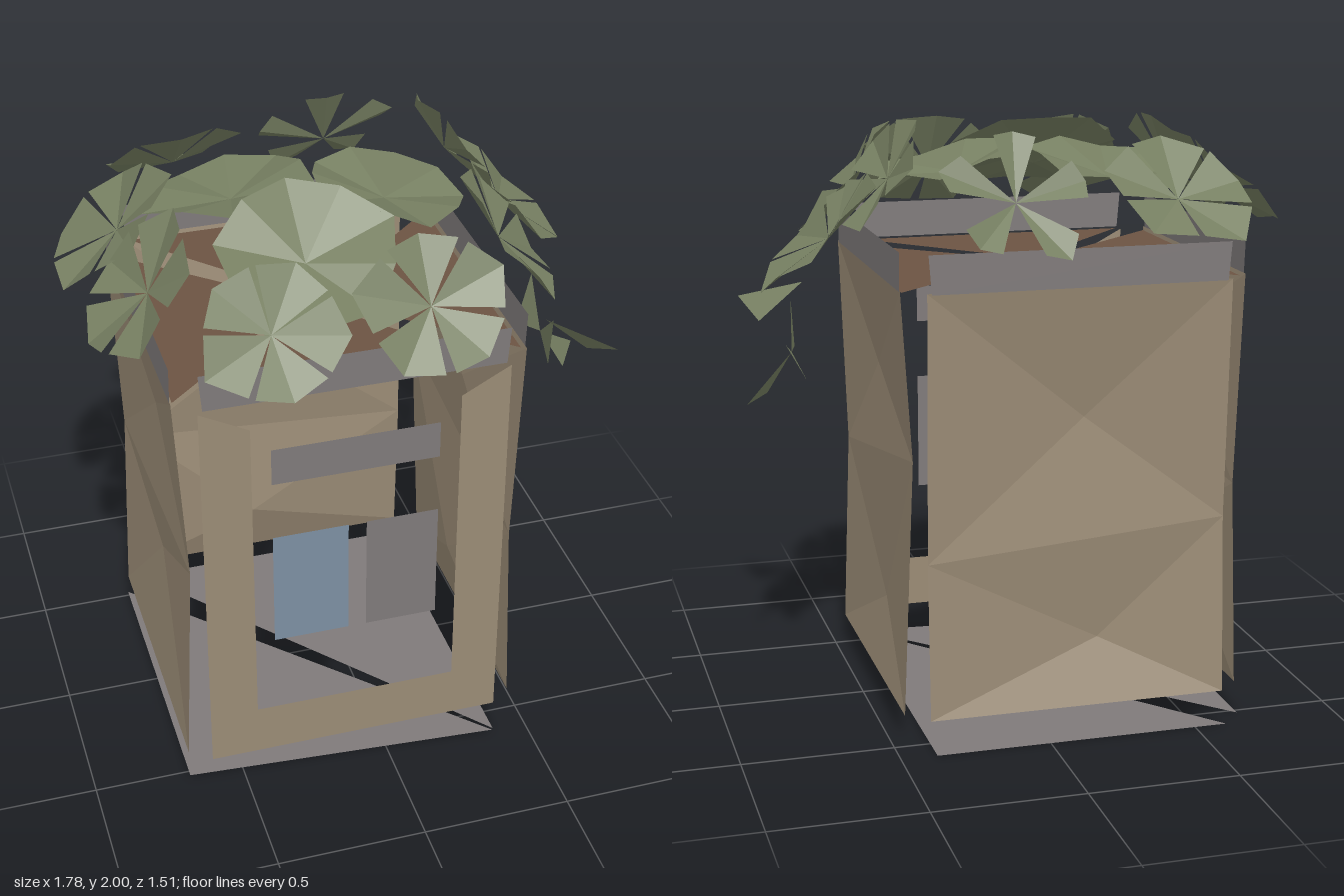
import * as THREE from 'three';

const mat = (name, color) => {
  const m = new THREE.MeshStandardMaterial({ color, side: THREE.DoubleSide, flatShading: true });
  m.name = name;
  return m;
};

export function createModel() {
  const tan = mat('tan wall', 0x9a8b75);
  const grey = mat('grey metal', 0x7f7a7a);
  const blue = mat('blue screen', 0x7c8fa2);
  const brown = mat('brown soil', 0x6c5443);
  const green = mat('green leaf', 0x778062);
  const root = new THREE.Group();

  // mesh from a flat list of triangles, each corner an [x, y, z]
  const faces = (name, material, corners, parent = root) => {
    const g = new THREE.BufferGeometry().setFromPoints(corners.map(p => new THREE.Vector3(...p)));
    g.computeVertexNormals();
    const m = new THREE.Mesh(g, material);
    m.name = name;
    parent.add(m);
    return m;
  };
  const flat = (name, material, outline, z) => {
    const g = new THREE.ShapeGeometry(new THREE.Shape(outline.map(p => new THREE.Vector2(...p))));
    const m = new THREE.Mesh(g, material);
    m.position.z = z;
    m.name = name;
    root.add(m);
  };
  const rect = (x0, x1, y0, y1) => [[x0, y0], [x1, y0], [x1, y1], [x0, y1]];

  // front frame, open at the top with mitred posts
  flat('frontFrame', tan, [[-0.61, 0.1], [0.39, 0.1], [0.39, 1.485], [0.23, 1.4], [0.23, 0.28],
    [-0.45, 0.28], [-0.45, 1.4], [-0.61, 1.485]], 0.57);
  flat('upperPlate', grey, rect(-0.385, 0.165, 1.18, 1.31), 0.565);
  flat('screen', blue, rect(-0.385, -0.135, 0.56, 0.975), 0.565);
  flat('lowerPlate', grey, rect(-0.075, 0.165, 0.56, 0.975), 0.565);

  // dented walls: u runs along the wall, v up, d is the distance from the middle
  const wall = (name, place, [leftV, rightV], hi, lo) => {
    const v = {
      tl: [-0.5, 1.5, 0.57], tr: [0.5, 1.5, 0.57], bl: [-0.5, 0.1, 0.57], br: [0.5, 0.1, 0.57],
      l: [-0.5, leftV, 0.545], r: [0.5, rightV, 0.535], hi, lo
    };
    const order = 'tl l hi tl hi tr tr hi r l r hi l lo r l bl lo bl br lo br r lo';
    faces(name, tan, order.split(' ').map(k => place(...v[k])));
  };
  const onRight = (u, y, d) => [d - 0.11, y, 0.015 - u];
  const onLeft = (u, y, d) => [-0.11 - d, y, 0.015 + u];
  const onBack = (u, y, d) => [-0.11 - u, y, 0.015 - d];
  const onFront = (u, y, d) => [-0.11 + u, y, 0.0 + d];
  wall('sideWallLeft', onRight, [0.78, 0.95], [-0.07, 1.15, 0.52], [0.03, 0.35, 0.525]);
  wall('sideWallRight', onLeft, [0.8, 0.85], [0.05, 1.22, 0.53], [-0.05, 0.56, 0.515]);
  wall('backWall', onBack, [0.62, 0.7], [0.03, 1.06, 0.495], [0.08, 0.31, 0.5]);

  // rim strips
  [onFront, onRight, onBack, onLeft].forEach((at, i) => {
    const a = at(-0.485, 1.495, 0.57), b = at(0.485, 1.495, 0.57);
    const c = at(0.495, 1.62, 0.57), d = at(-0.495, 1.62, 0.57);
    faces('rim' + (i + 1), grey, [a, b, c, a, c, d]);
    // soil wedge behind each strip
    faces('soil' + (i + 1), brown, [at(-0.475, 1.49, 0.56), at(0.475, 1.49, 0.56), at(0, 1.49, 0.03)]);
  });

  // split base plate
  faces('baseBack', grey, [[0.385, 0, 0.59], [0.38, 0, -0.6], [-0.61, 0, -0.6]]);
  faces('baseFront', grey, [[0.38, 0, 0.597], [-0.68, 0, -0.52], [-0.68, 0, 0.52]]);

  // folded leaf clusters: centre, normal, radius, petal fullness, turn, petal count
  const leaves = [
    [[-0.42, 1.76, -0.55], [-0.1, 0.8, -0.55], 0.25, 0.93, 0.3, 5],
    [[0.11, 1.77, -0.56], [0, 0.6, -0.8], 0.24, 0.5, 0.4, 5],
    [[-0.69, 1.74, -0.17], [-0.65, 0.75, 0], 0.25, 0.92, 0.2, 5],
    [[-0.31, 1.79, -0.18], [-0.12, 0.98, -0.15], 0.285, 1, 0.5, 5],
    [[0.16, 1.8, -0.03], [0.2, 0.97, 0], 0.28, 1, 0.1, 5],
    [[-0.19, 1.78, 0.28], [0, 0.85, 0.5], 0.3, 1, 0.94, 5],
    [[0.45, 1.82, -0.28], [0.8, 0.55, -0.1], 0.22, 0.85, 0.6, 5],
    [[0.63, 1.63, -0.22], [0.7, 0.7, 0.05], 0.26, 0.95, 0.1, 5],
    [[0.47, 1.73, 0.2], [0.75, 0.6, 0.15], 0.25, 0.85, 0.8, 5],
    [[-0.38, 1.73, 0.58], [-0.05, 0.6, 0.75], 0.23, 0.92, 0.2, 5],
    [[0.12, 1.74, 0.57], [0, 0.6, 0.78], 0.24, 0.88, 0.9, 5],
    [[-0.68, 1.74, 0.25], [-0.75, 0.65, 0.1], 0.25, 0.85, 0.7, 5]
  ];
  const foliage = new THREE.Group();
  foliage.name = 'foliage';
  root.add(foliage);
  leaves.forEach(([centre, normal, r, full, turn, n], i) => {
    const corners = [];
    const at = (a, rad, h) => [rad * Math.cos(a), h, rad * Math.sin(a)];
    for (let k = 0; k < n; k++) {
      const a = turn + k * 2 * Math.PI / n;
      const half = full * Math.PI / n;
      const size = r * (1 + 0.08 * Math.sin(k * 2.4 + i));
      const tip = at(a, size, 0.13 * size);
      const s1 = at(a - half, r * 0.9, 0.22 * r), s2 = at(a + half, r * 0.9, 0.22 * r);
      corners.push([0, 0, 0], tip, s1, [0, 0, 0], s2, tip);
    }
    const m = faces('leaf' + (i + 1), green, corners, foliage);
    m.position.set(...centre);
    m.quaternion.setFromUnitVectors(new THREE.Vector3(0, 1, 0), new THREE.Vector3(...normal).normalize());
  });

  // loose hanging leaf
  const c = [0.72, 1.22, 0];
  faces('hangingLeaf', green, [
    c, [0.68, 1.2, 0.18], [0.69, 1.37, 0.18],
    c, [0.78, 1.3, -0.25], [0.7, 1.16, -0.17],
    c, [0.89, 1.08, -0.12], [0.8, 1.08, 0.03]
  ], foliage);
  faces('fallingLeaf', green, [[0.64, 1.41, 0.23], [0.84, 1.345, 0.375], [0.79, 1.28, 0.24]], foliage);

  return root;
}
